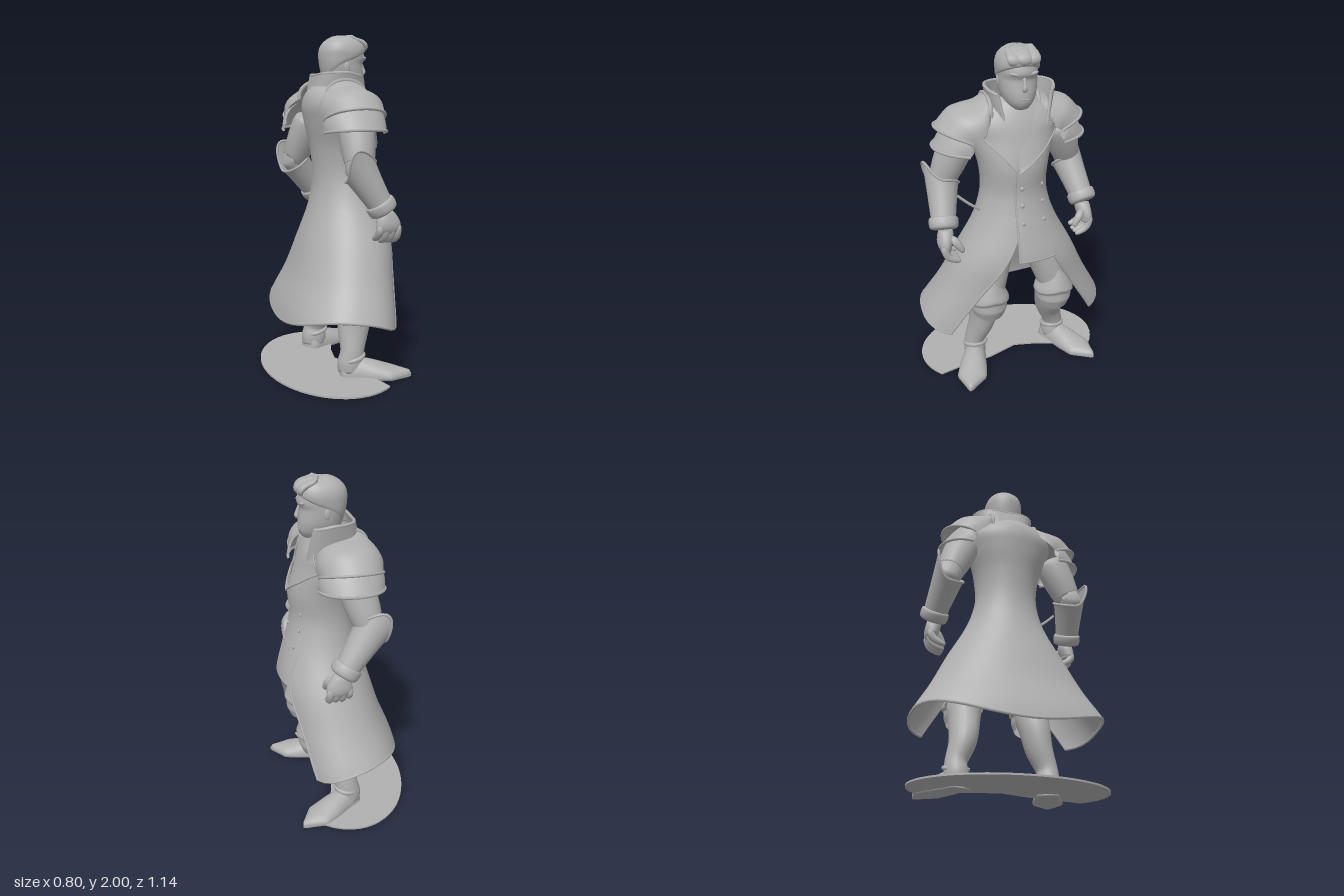
import * as THREE from 'three';

const grey = new THREE.MeshStandardMaterial({ color: 0xb0b0b0, side: THREE.DoubleSide });
grey.name = 'clay grey';
const { sin, cos, PI, abs, max, min, sqrt, sign } = Math;
const lerp = (a, b, t) => a + (b - a) * t;
const spow = (c, p) => sign(c) * abs(c) ** p;

// Surface from f(u, v) => [x, y, z]; closed joins u = 1 back to u = 0
function grid(nu, nv, f, closed = false) {
  const pos = [], idx = [], cols = closed ? nu : nu + 1;
  for (let j = 0; j <= nv; j++)
    for (let i = 0; i < cols; i++) pos.push(...f(i / nu, j / nv));
  for (let j = 0; j < nv; j++)
    for (let i = 0; i < nu; i++) {
      const a = j * cols + i, b = j * cols + (i + 1) % cols, c = a + cols, d = b + cols;
      idx.push(a, c, b, b, c, d);
    }
  const g = new THREE.BufferGeometry();
  g.setAttribute('position', new THREE.Float32BufferAttribute(pos, 3));
  g.setIndex(idx);
  g.computeVertexNormals();
  return g;
}

// Lookup through rows of numbers keyed by the first column
function profile(rows, Kind = THREE.CubicInterpolant) {
  const it = new Kind(rows.map(r => r[0]), rows.flatMap(r => r.slice(1)), rows[0].length - 1);
  return t => Array.from(it.evaluate(t));
}

// Ring point around a centre, square to direction t
function ring(c, t, ra, rc, ang) {
  const a = new THREE.Vector3(1, 0, 0).addScaledVector(t, -t.x).normalize();
  const b = t.clone().cross(a);
  return c.clone().addScaledVector(a, ra * cos(ang)).addScaledVector(b, rc * sin(ang)).toArray();
}

// Rounded limb through rows [x, y, z, radius along x, radius along z]
function limb(rows, sides = 20) {
  const n = rows.length - 1, at = profile(rows.map((r, i) => [i, ...r]));
  const p = t => new THREE.Vector3(...at(t).slice(0, 3));
  return grid(sides, n * 5, (u, v) => {
    const t = v * n, r = at(t);
    const dir = p(min(n, t + 0.05)).sub(p(max(0, t - 0.05))).normalize();
    const k = v === 0 || v === 1 ? 0 : 1;
    return ring(p(t), dir, k * max(0, r[3]), k * max(0, r[4]), u * 2 * PI);
  }, true);
}

// Coat outline by height: front x, back x, half width; boxier towards the hem
const coatAt = profile([
  [0.3, 0.325, -0.33, 0.62], [0.41, 0.335, -0.305, 0.57], [0.6, 0.355, -0.23, 0.46], [0.8, 0.37, -0.17, 0.36],
  [1.0, 0.328, -0.11, 0.25], [1.1, 0.3, -0.09, 0.212], [1.2, 0.282, -0.085, 0.192], [1.35, 0.287, -0.1, 0.205],
  [1.5, 0.25, -0.13, 0.25], [1.6, 0.22, -0.14, 0.265], [1.68, 0.18, -0.11, 0.18], [1.72, 0.15, -0.06, 0.09]]);
const boxy = y => lerp(0.82, 1, max(0, min(1, (y - 0.4) / 0.6)));
function coat(y, ang, off = 0) {
  const [f, b, w] = coatAt(y), p = boxy(y);
  return [(f + b) / 2 + ((f - b) / 2 + off) * spow(cos(ang), p), y, (w + off) * spow(sin(ang), p)];
}
const onFront = (z, y, off) => {
  const [f, b, w] = coatAt(y), p = boxy(y);
  return [(f + b) / 2 + (f - b) / 2 * max(0, 1 - abs(z / w) ** (2 / p)) ** (p / 2) + off, y, z];
};
const edgeAngle = (z, y) => Math.asin(min(1, z / coatAt(y)[2]) ** (1 / boxy(y)));

export function createModel() {
  const model = new THREE.Group();
  const add = (name, geo, parent = model) => {
    const m = new THREE.Mesh(geo, grey);
    m.name = name;
    parent.add(m);
    return m;
  };
  const tube = (name, pts, r) => add(name, new THREE.TubeGeometry(
    new THREE.CatmullRomCurve3(pts.map(p => new THREE.Vector3(...p))), 40, r, 6));
  const line = f => Array.from({ length: 25 }, (_, i) => f(i / 24));

  // Ground plate with a bite between the feet
  const plate = new THREE.Shape();
  for (let i = 0; i <= 40; i++) {
    const a = PI / 3 + (i / 40) * PI * 4 / 3;
    plate[i ? 'lineTo' : 'moveTo'](0.4 * cos(a), 0.57 * sin(a));
  }
  for (const [x, z] of [[0.16, -0.36], [0.09, -0.18], [0.06, -0.03], [0.13, 0.16], [0.16, 0.34]]) plate.lineTo(x, z);
  add('groundPlate', new THREE.ExtrudeGeometry(plate, { depth: 0.01, bevelEnabled: false }).rotateX(PI / 2).translate(0, 0.02, 0));

  // Coat: upper body and open skirt
  add('coatBody', grid(48, 30, (u, v) => coat(lerp(1.72, 0.96, v), u * 2 * PI), true));
  const edgeR = profile([[0.3, 0.46], [0.34, 0.44], [0.6, 0.27], [0.8, 0.13], [0.97, 0.045], [1.0, 0.04]]);
  const edgeL = profile([[0.3, 0.49], [0.34, 0.47], [0.6, 0.31], [0.82, 0.18], [1.0, 0.15]]);
  const hem = u => 0.34 + 0.09 * abs(sin(u * 2 * PI)) ** 1.5;
  const skirt = (u, v, off = 0) => {
    const y = lerp(1.0, hem(u), v);
    return coat(y, lerp(edgeAngle(edgeR(y)[0], y), 2 * PI - edgeAngle(edgeL(y)[0], y), u), off);
  };
  add('coatSkirt', grid(64, 24, (u, v) => skirt(u, v)));
  add('coatLining', grid(64, 24, (u, v) => skirt(u, v, -0.015)));
  tube('hemTrim', line(t => skirt(t, 1, -0.007)), 0.009);
  for (const u of [0, 1]) tube('skirtEdge', line(t => skirt(u, t, -0.004)), 0.009);

  // Double-breasted front panel, its trim and soft buttons
  add('frontPanel', grid(10, 20, (u, v) => onFront(lerp(0.045, lerp(-0.12, -0.18, v), u), lerp(1.36, 0.82, v), 0.008)));
  tube('panelEdge', line(t => onFront(0.045, lerp(1.36, 0.82, t), 0.004)), 0.007);
  tube('panelHem', line(t => onFront(lerp(0.045, -0.18, t), 0.82, 0.002)), 0.008);
  for (const y of [1.24, 1.14, 1.04])
    for (const z of [0.01, -0.12])
      add('button', new THREE.SphereGeometry(0.013, 10, 8).scale(0.6, 1, 1).translate(...onFront(z, y, 0.008)));

  // Lapels: inner and outer edge z by height, the -z one broader
  const lapels = [
    [[1.34, 0.03, 0.035], [1.44, 0.025, 0.12], [1.52, 0.035, 0.2], [1.55, 0.045, 0.185], [1.62, 0.07, 0.165], [1.68, 0.1, 0.15]],
    [[1.34, 0.03, 0.02], [1.44, 0.02, -0.13], [1.53, -0.03, -0.24], [1.56, -0.05, -0.21], [1.62, -0.08, -0.18], [1.68, -0.11, -0.155]]];
  for (const rows of lapels) {
    const lapel = profile(rows, THREE.LinearInterpolant);
    const at = (u, v) => {
      const y = lerp(1.34, 1.68, v), [a, b] = lapel(y);
      return onFront(lerp(a, b, u), y, 0.006 + 0.01 * u);
    };
    add('lapel', grid(8, 24, at));
    tube('lapelEdge', line(t => at(1, t)), 0.006);
  }

  // Standing collar, open at the front
  const collar = (u, v, off = 0) => {
    const a = lerp(0.75, 2 * PI - 0.75, u), sz = spow(sin(a), 0.6);
    const top = 1.735 + 0.03 * (1 - max(0, cos(a))) + 0.01 * abs(sz);
    return [0.075 + (lerp(0.19, 0.145, v) + off) * cos(a), lerp(1.58, top, v), -0.04 + (lerp(0.16, 0.2, v) + off) * sz];
  };
  add('collar', grid(40, 8, (u, v) => collar(u, v)));
  add('collarLining', grid(40, 8, (u, v) => collar(u, v, -0.016)));
  tube('collarRim', line(t => collar(t, 1, -0.008)), 0.01);
  for (const u of [0, 1]) tube('collarEdge', line(t => collar(u, t, -0.008)), 0.01);

  // Head: rows of height, back x, front x, half width
  const head = new THREE.Group();
  head.name = 'head';
  head.position.z = -0.02;
  model.add(head);
  const headAt = profile([
    [1.56, -0.03, 0.13, 0.08], [1.645, -0.01, 0.15, 0.075], [1.665, -0.01, 0.2, 0.062], [1.7, -0.01, 0.228, 0.08], [1.75, -0.015, 0.232, 0.098],
    [1.8, -0.025, 0.225, 0.106], [1.835, -0.03, 0.222, 0.108], [1.86, -0.033, 0.235, 0.108], [1.91, -0.03, 0.225, 0.105],
    [1.95, -0.01, 0.205, 0.088], [1.975, 0.02, 0.175, 0.064], [1.99, 0.06, 0.13, 0.03], [1.993, 0.09, 0.1, 0.002]]);
  const skull = (y, a, off = 0) => {
    const [b, w, h] = headAt(y);
    return [(b + w) / 2 + ((w - b) / 2 + off) * spow(cos(a), 0.85), y, (h + off) * sin(a)];
  };
  add('face', grid(36, 44, (u, v) => skull(lerp(1.993, 1.56, v), u * 2 * PI), true), head);
  add('hair', grid(40, 28, (u, v) => {
    const a = u * 2 * PI, f = (1 + cos(a)) / 2;
    const rise = min(1, v * 3) * sqrt(max(0, 1 - v ** 4));
    const p = skull(lerp(1.993, lerp(1.72, 1.905, f ** 0.55), v ** 1.3), a, (0.01 + 0.02 * f ** 3) * rise);
    return [p[0], p[1] + 0.006 * (1 - v), p[2]];
  }, true), head);
  // Broad swept-back locks
  for (const [z, low] of [[-0.05, 0.008], [0, 0], [0.05, 0.012]])
    add('hairLock', limb([[0.225 - low, 1.91, z, 0.01, 0.025], [0.23 - low, 1.94 - low / 2, z, 0.02, 0.042], [0.19, 1.965 - low, z * 0.95, 0.022, 0.045],
      [0.12, 1.977 - low, z * 0.85, 0.018, 0.042], [0.04, 1.955 - low, z * 0.7, 0.01, 0.03]], 16), head);
  add('nose', limb([[0.222, 1.85, 0, 0.005, 0.008], [0.232, 1.81, 0, 0.012, 0.01], [0.237, 1.787, 0, 0.013, 0.015], [0.226, 1.772, 0, 0.008, 0.01]], 12), head);
  add('mouth', new THREE.SphereGeometry(1, 12, 8).scale(0.007, 0.005, 0.03).translate(0.228, 1.728, 0), head);
  for (const s of [1, -1]) {
    add('brow', new THREE.SphereGeometry(1, 12, 8).scale(0.016, 0.011, 0.042).rotateX(-s * 0.2).translate(0.215, 1.862, s * 0.042), head);
    add('ear', new THREE.SphereGeometry(1, 12, 8).scale(0.018, 0.03, 0.007).translate(0.09, 1.81, s * 0.106), head);
  }

  // Joints differ slightly from side to side; s = 1 is the +z side
  const sides = [
    { s: 1, S: [0.06, 1.52, 0.29], E: [0.04, 1.24, 0.41], W: [0.155, 1.05, 0.43], pad: 0.06, foot: [0.06, 0.24], yaw: 0.35, kz: 0.18 },
    { s: -1, S: [0, 1.52, -0.3], E: [-0.08, 1.24, -0.41], W: [0.06, 1.05, -0.45], pad: -0.005, foot: [0.015, -0.3], yaw: 0.5, kz: -0.235 }];
  for (const { s, S, E, W, pad, foot, yaw, kz } of sides) {
    // Layered shoulder armour: rows of distance outward, half depth, base y, top y
    const layers = [
      [[0.15, 0.12, 1.63, 1.735], [0.2, 0.16, 1.6, 1.7], [0.28, 0.18, 1.56, 1.685], [0.36, 0.185, 1.53, 1.66], [0.4, 0.18, 1.52, 1.62], [0.44, 0.175, 1.51, 1.575]],
      [[0.26, 0.17, 1.48, 1.62], [0.35, 0.185, 1.46, 1.6], [0.41, 0.185, 1.45, 1.53], [0.455, 0.18, 1.44, 1.46]]];
    layers.forEach((rows, n) => {
      const at = profile(rows), d0 = rows[0][0], d1 = rows[rows.length - 1][0];
      const shell = (u, v) => {
        const d = lerp(d0, d1, v), [w, b, t] = at(d), a = u * PI;
        return [pad + w * cos(a), lerp(b, t, sin(a) ** 0.8), s * (d - 0.17 * v * (1 - sin(a)))];
      };
      add('shoulderPlate', grid(28, 14, shell));
      tube('shoulderRim', line(t => shell(t, 1)), 0.009);
      if (n === 0) tube('shoulderTopRim', line(t => shell(t, 0)), 0.012);
    });

    // Arm, flared bracer with pointed outer cuff, wrist band
    const mid = k => S.map((c, i) => lerp(c, E[i], k));
    add('upperArm', limb([[...S, 0.08, 0.08], [...mid(0.15), 0.1, 0.1], [...mid(0.55), 0.096, 0.095], [...mid(0.9), 0.08, 0.08], [...E, 0.075, 0.075], [...W, 0.055, 0.055]]));
    const e = new THREE.Vector3(...E), w = new THREE.Vector3(...W), dir = w.clone().sub(e).normalize();
    const bracer = (u, v) => {
      const a = u * 2 * PI, out = max(0, s * sin(a)) ** 2;
      const t = lerp(-0.5 * out + 0.05 * (1 - out), 1, v), r = lerp(0.1, 0.07, v ** 0.8);
      return ring(e.clone().lerp(w, t), dir, r, r, a);
    };
    add('bracer', grid(28, 12, bracer, true));
    tube('bracerRim', line(t => bracer(t, 0)), 0.008);
    const tip = k => w.clone().addScaledVector(dir, k).toArray();
    add('wristBand', limb([[...tip(-0.02), 0.06, 0.06], [...tip(-0.01), 0.083, 0.083], [...tip(0.04), 0.08, 0.08], [...tip(0.055), 0.05, 0.05]]));

    // Gloved hand with curled fingers
    const hx = W[0] + 0.035, hz = abs(W[2]);
    add('palm', limb([[hx - 0.01, 1.01, s * hz, 0.04, 0.04], [hx, 0.98, s * hz, 0.06, 0.045], [hx + 0.01, 0.93, s * (hz + 0.01), 0.075, 0.04], [hx + 0.01, 0.89, s * hz, 0.06, 0.03]], 16));
    for (let k = 0; k < 4; k++) {
      const x = hx + 0.01 + (k - 1.5) * 0.036, drop = k === 0 ? 0.015 : 0;
      add('finger', limb([[x, 0.94, s * (hz + 0.015), 0.015, 0.015], [x, 0.91, s * (hz + 0.02), 0.021, 0.022], [x, 0.865 + drop, s * hz, 0.02, 0.022],
        [x, 0.84 + drop, s * (hz - 0.045), 0.018, 0.017], [x, 0.835 + drop, s * (hz - 0.07), 0.01, 0.01]], 10));
    }
    add('thumb', limb([[hx + 0.04, 0.98, s * (hz - 0.02), 0.015, 0.015], [hx + 0.06, 0.95, s * (hz - 0.045), 0.024, 0.024], [hx + 0.07, 0.905, s * (hz - 0.075), 0.018, 0.018], [hx + 0.07, 0.885, s * (hz - 0.08), 0.008, 0.008]], 10));

    // Leg: thigh, boot shaft and ankle roll
    const [fx, fz] = foot;
    add('thigh', limb([[0.12, 1.0, s * 0.08, 0.1, 0.08], [0.13, 0.9, s * 0.1, 0.125, 0.105], [0.16, 0.72, lerp(s * 0.1, kz, 0.55), 0.115, 0.1], [0.18, 0.55, kz, 0.095, 0.095], [0.16, 0.45, kz, 0.08, 0.08]], 24));
    add('boot', limb([[0.16, 0.56, kz, 0.08, 0.08], [0.15, 0.5, kz, 0.105, 0.1], [0.11, 0.4, lerp(kz, fz, 0.1), 0.105, 0.09], [fx + 0.03, 0.28, lerp(kz, fz, 0.4), 0.095, 0.078],
      [fx + 0.01, 0.16, fz, 0.072, 0.062], [fx, 0.09, fz, 0.08, 0.068], [fx, 0.03, fz, 0.075, 0.065]], 24));
    add('ankleRoll', new THREE.TorusGeometry(0.066, 0.013, 8, 24).rotateX(PI / 2).rotateZ(0.25).translate(fx + 0.012, 0.12, fz));

    // Pointed knee guard: flared upper plate over a tapering lower one
    const knee = profile([[0, 0.085, 0.09], [0.35, 0.115, 0.12], [0.48, 0.125, 0.122], [0.53, 0.108, 0.11], [0.75, 0.11, 0.108], [1, 0.08, 0.095]], THREE.LinearInterpolant);
    add('kneeGuard', grid(16, 24, (u, v) => {
      const a = lerp(-1.9, 1.9, u), [rx, rz] = knee(v), peak = 0.08 * min(1, abs(a) / 1.2);
      return [0.19 + rx * cos(a), lerp(0.665 - peak, 0.385 + 0.3 * peak, v), kz + rz * sin(a)];
    }));

    // Wedge-toed shoe: rows of length, half width, height
    const shoe = profile([[-0.07, 0.05, 0.08], [-0.04, 0.066, 0.11], [0.05, 0.072, 0.12], [0.14, 0.085, 0.1], [0.24, 0.09, 0.068], [0.36, 0.008, 0.04]], THREE.LinearInterpolant);
    const f = add('shoe', grid(24, 30, (u, v) => {
      const x = lerp(-0.07, 0.36, v), [hw, h] = shoe(x), a = u * 2 * PI, k = v === 0 || v === 1 ? 0.02 : 1;
      const up = sin(a);
      return [x, up > 0 ? 0.02 + (h - 0.02) * up * k : 0.02 + 0.018 * max(-1, up * 3), k * hw * cos(a)];
    }, true));
    f.position.set(fx, 0, fz);
    f.rotation.y = -s * yaw;
  }

  // Hips, and a thin spike at the belt
  add('hips', new THREE.SphereGeometry(1, 24, 16).scale(0.15, 0.14, 0.18).translate(0.11, 0.96, 0));
  tube('beltSpike', [[0.14, 1.07, 0.2], [0.15, 1.13, 0.28], [0.16, 1.19, 0.345]], 0.009);

  return model;
}
